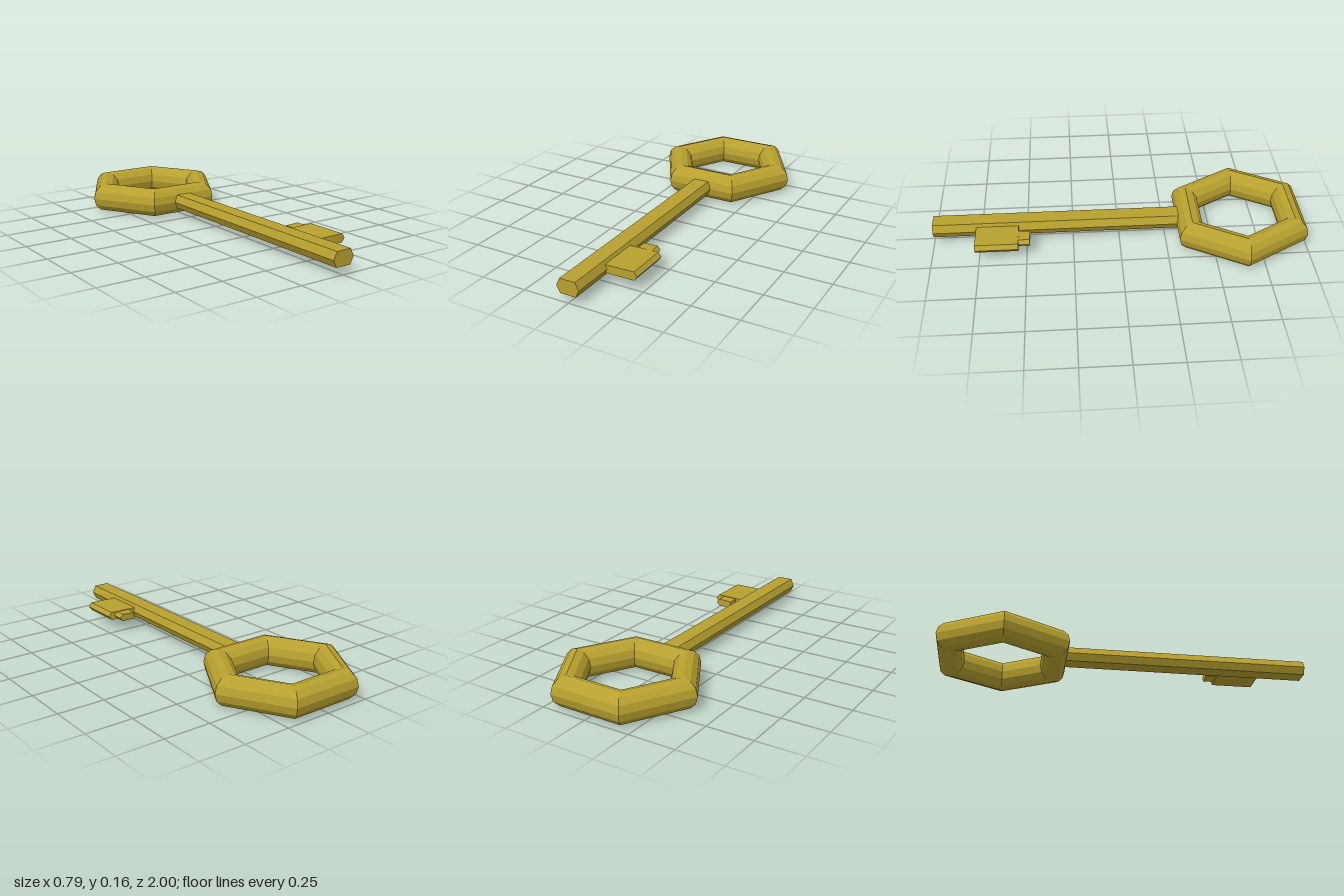
import * as THREE from 'three';

const material = new THREE.MeshStandardMaterial({ color: 0xb8a12f, flatShading: true });

// Straight bar: an x/y cross-section run along z from z0 to z1
function bar(name, section, z0, z1) {
  const shape = new THREE.Shape(section.map(([x, y]) => new THREE.Vector2(x, y)));
  const geometry = new THREE.ExtrudeGeometry(shape, { depth: z1 - z0, bevelEnabled: false });
  geometry.translate(0, 0, z0);
  const mesh = new THREE.Mesh(geometry, material);
  mesh.name = name;
  return mesh;
}

// Thin plate section with a pointed outer edge
function plate(x0, x1, low, high) {
  const shoulder = x1 - 0.017;
  return [[x0, low], [shoulder, low], [x1, 0.083], [shoulder, high], [x0, high - 0.003]];
}

export function createModel() {
  const key = new THREE.Group();
  key.name = 'key';

  // Six-sided ring handle lying flat
  const ringGeometry = new THREE.TorusGeometry(0.317, 0.08, 12, 6);
  ringGeometry.rotateX(Math.PI / 2);
  const ring = new THREE.Mesh(ringGeometry, material);
  ring.name = 'bow';
  ring.position.set(0, 0.08, -0.656);
  key.add(ring);

  // Flattened hexagonal shaft
  key.add(bar('shaft', [
    [-0.062, 0.08], [-0.043, 0.042], [0.043, 0.042],
    [0.062, 0.08], [0.043, 0.12], [-0.043, 0.12],
  ], -0.33, 1));

  // Bit with one smaller tooth towards the handle
  key.add(bar('bit', plate(0.045, 0.228, 0.06, 0.106), 0.54, 0.767));
  key.add(bar('tooth', plate(0.095, 0.19, 0.063, 0.103), 0.48, 0.545));

  return key;
}
